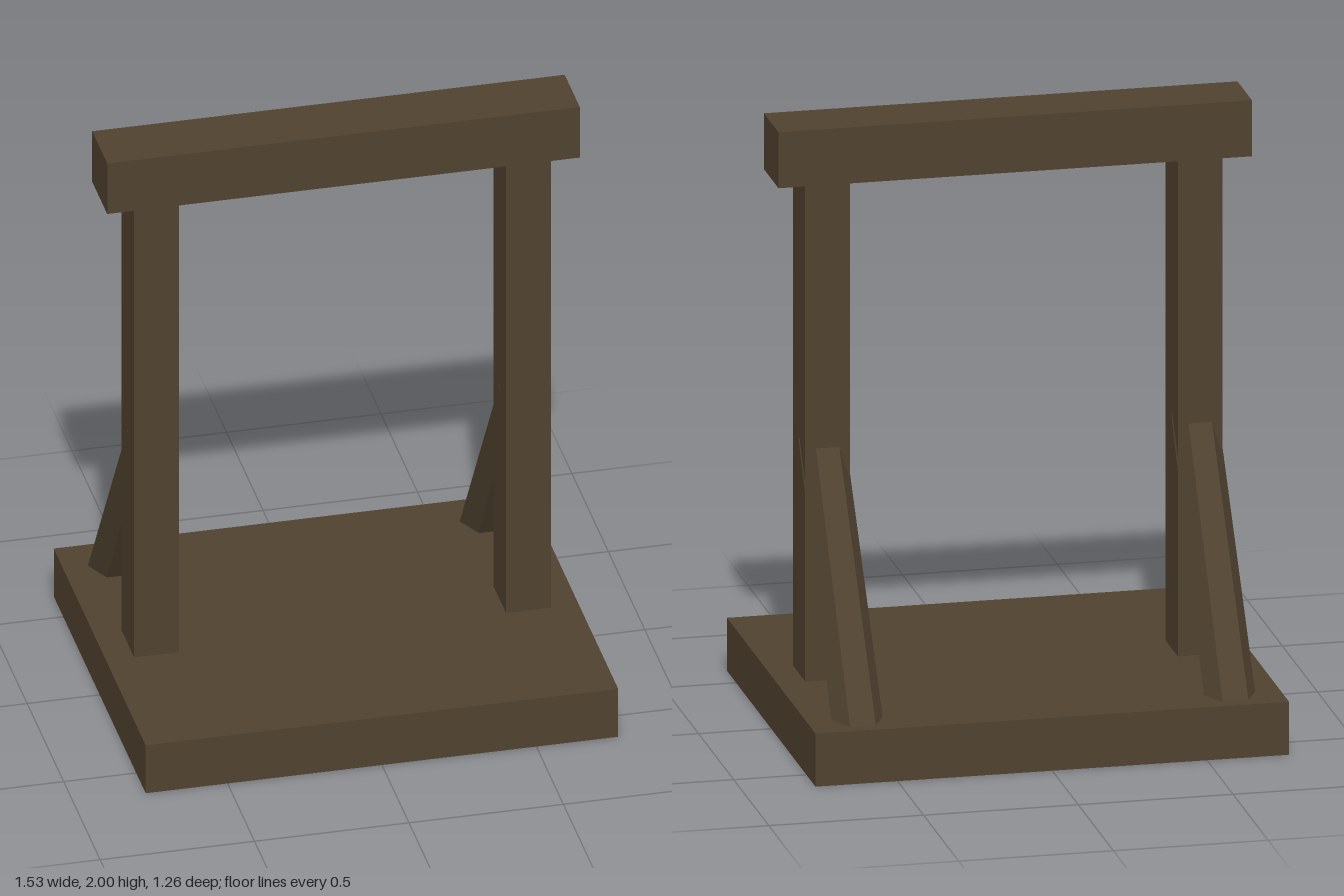
import * as THREE from 'three';

export function createModel() {
  const group = new THREE.Group();
  const wood = new THREE.MeshStandardMaterial({ color: 0x504230, flatShading: true });

  const add = (name, geometry, x, y, z) => {
    const mesh = new THREE.Mesh(geometry, wood);
    mesh.name = name;
    mesh.position.set(x, y, z);
    group.add(mesh);
    return mesh;
  };

  // Platform and crossbeam
  add('platform', new THREE.BoxGeometry(1.53, 0.175, 1.26), 0, 0.0875, 0);
  add('crossbeam', new THREE.BoxGeometry(1.53, 0.185, 0.206), 0, 1.9075, 0);

  // Brace axis, from inside the platform up to the middle of the post
  const foot = new THREE.Vector3(0, 0.08, -0.562);
  const head = new THREE.Vector3(0, 0.953, 0);
  const axis = head.clone().sub(foot);
  const middle = foot.clone().add(head).multiplyScalar(0.5);

  for (const [side, sign] of [['left', 1], ['right', -1]]) {
    const x = sign * 0.602;
    add(side + 'Post', new THREE.BoxGeometry(0.145, 1.68, 0.174), x, 0.995, 0.002);

    // Slightly tapered six-sided brace with its ridges facing sideways
    const shape = new THREE.CylinderGeometry(0.075, 0.084, axis.length(), 6, 1, false, Math.PI / 2);
    const brace = add(side + 'Brace', shape, x, middle.y, middle.z);
    brace.rotation.x = Math.atan2(axis.z, axis.y);
  }

  return group;
}
